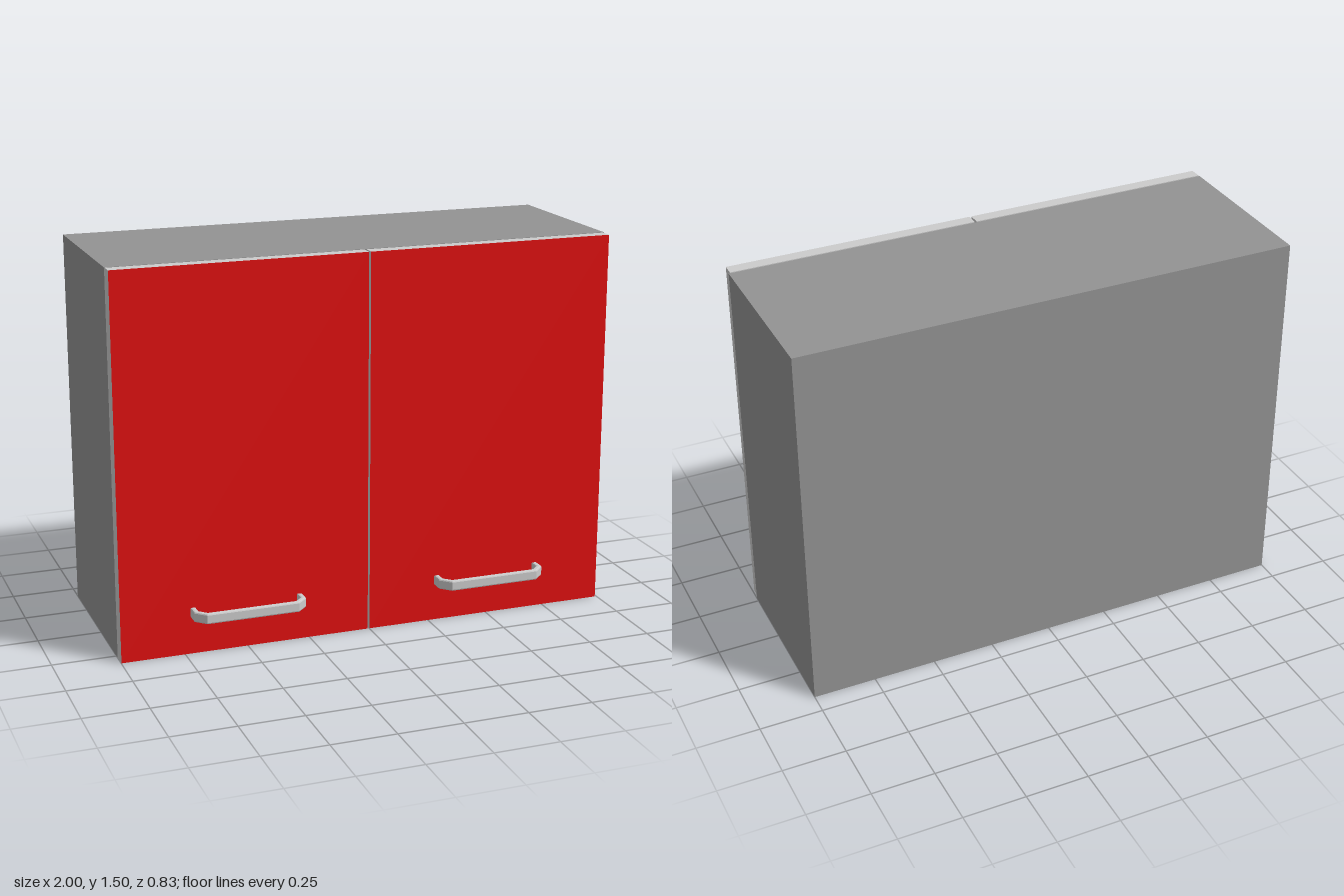
import * as THREE from 'three';

const H = 1.505;
const grey = new THREE.MeshStandardMaterial({ color: 0xcccccc });
const darkGrey = new THREE.MeshStandardMaterial({ color: 0x939393 });
const red = new THREE.MeshStandardMaterial({ color: 0xe01010 });

// Box given by its minimum and maximum corners
function box(name, min, max, material) {
  const size = max.map((v, i) => v - min[i]);
  const mesh = new THREE.Mesh(new THREE.BoxGeometry(...size), material);
  mesh.position.set(...max.map((v, i) => (v + min[i]) / 2));
  mesh.name = name;
  return mesh;
}

// Bow handle: a chamfered U outline extruded vertically with bevelled edges
function handleGeometry() {
  const half = 0.223, reach = 0.09, t = 0.02, cut = 0.04, b = 0.006, height = 0.042;
  const inner = half - t, c = cut - t * 0.586;
  const shape = new THREE.Shape([
    [-half, 0], [-inner, 0], [-inner, reach - t - c], [-inner + c, reach - t],
    [inner - c, reach - t], [inner, reach - t - c], [inner, 0], [half, 0],
    [half, reach - cut], [half - cut, reach], [-half + cut, reach], [-half, reach - cut],
  ].map(([x, y]) => new THREE.Vector2(x, y)));
  const geometry = new THREE.ExtrudeGeometry(shape, {
    depth: height - 2 * b, bevelEnabled: true, bevelSize: b, bevelThickness: b,
    bevelOffset: -b, bevelSegments: 2,
  });
  geometry.translate(0, 0, b - height / 2);
  geometry.rotateX(Math.PI / 2);
  return geometry;
}

export function createModel() {
  const model = new THREE.Group();
  model.name = 'wallCabinet';

  model.add(box('carcass', [-1, 0, -0.415], [1, H, 0.27], darkGrey));

  // Two doors with a narrow gap, red on the front face only
  const faces = [grey, grey, grey, grey, red, grey];
  const handle = handleGeometry();
  for (const [side, x] of [['right', -0.503], ['left', 0.497]]) {
    model.add(box(side + 'Door', [x - 0.496, 0, 0.276], [x + 0.496, H, 0.325], faces));
    const mesh = new THREE.Mesh(handle, grey);
    mesh.name = side + 'Handle';
    mesh.position.set(x, 0.167, 0.325);
    model.add(mesh);
  }
  return model;
}
